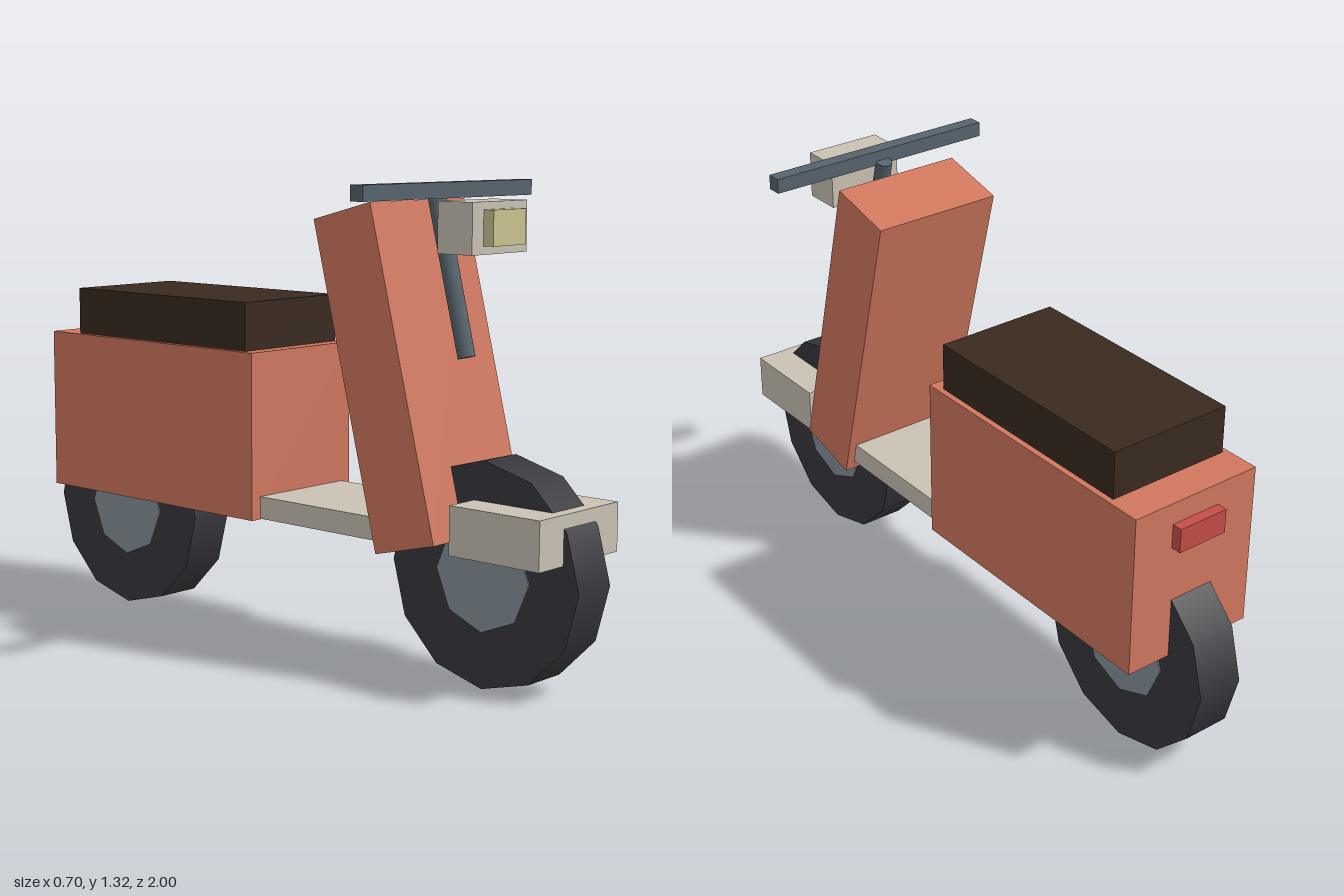
import * as THREE from 'three';

const mat = (name, color) => {
  const m = new THREE.MeshStandardMaterial({ color });
  m.name = name;
  return m;
};

export function createModel() {
  const orange = mat('orange paint', 0xd0775e);
  const cream = mat('cream panel', 0xcac1b3);
  const brown = mat('dark brown seat', 0x3a2a20);
  const rubber = mat('black rubber', 0x38373d);
  const hubGrey = mat('hub grey', 0x87929a);
  const steel = mat('dark steel', 0x56636d);
  const yellow = mat('lamp yellow', 0xcac28e);
  const red = mat('tail red', 0xc54d48);

  const group = new THREE.Group();
  const add = (name, geometry, material, y, z, tilt = 0) => {
    const mesh = new THREE.Mesh(geometry, material);
    mesh.name = name;
    mesh.position.set(0, y, z);
    mesh.rotation.x = tilt;
    group.add(mesh);
    return mesh;
  };
  // Centred box given its half width and its y and z ranges
  const block = (name, material, halfW, y0, y1, z0, z1) =>
    add(name, new THREE.BoxGeometry(2 * halfW, y1 - y0, z1 - z0), material, (y0 + y1) / 2, (z0 + z1) / 2);

  // Wheels: twelve-sided tyre with an eight-sided hub just proud of it
  for (const [name, z] of [['front', 0.695], ['rear', -0.695]]) {
    const tyre = new THREE.CylinderGeometry(0.305, 0.305, 0.136, 12).rotateZ(Math.PI / 2);
    const hub = new THREE.CylinderGeometry(0.152, 0.152, 0.144, 8).rotateZ(Math.PI / 2);
    add(name + 'Tyre', tyre, rubber, 0.305, z);
    add(name + 'Hub', hub, hubGrey, 0.305, z);
  }

  // Body
  block('rearBody', orange, 0.203, 0.37, 0.843, -0.87, -0.017);
  block('seat', brown, 0.186, 0.843, 0.98, -0.765, -0.058);
  block('tailLight', red, 0.077, 0.71, 0.78, -0.9, -0.868);
  block('floorboard', cream, 0.17, 0.372, 0.435, -0.12, 0.48);
  block('frontFender', cream, 0.17, 0.37, 0.502, 0.663, 0.95);

  // Leg shield and steering stem lean back together
  const lean = -0.25;
  add('legShield', new THREE.BoxGeometry(0.39, 0.905, 0.205), orange, 0.807, 0.422, lean);
  add('steeringStem', new THREE.CylinderGeometry(0.024, 0.024, 0.44, 8), steel, 1.075, 0.525, lean);

  // Handlebar and headlight
  block('handlebar', steel, 0.35, 1.278, 1.32, 0.48, 0.522);
  block('headlightCase', cream, 0.114, 1.14, 1.275, 0.57, 0.683);
  block('headlightLens', yellow, 0.068, 1.162, 1.255, 0.68, 0.715);

  return group;
}
